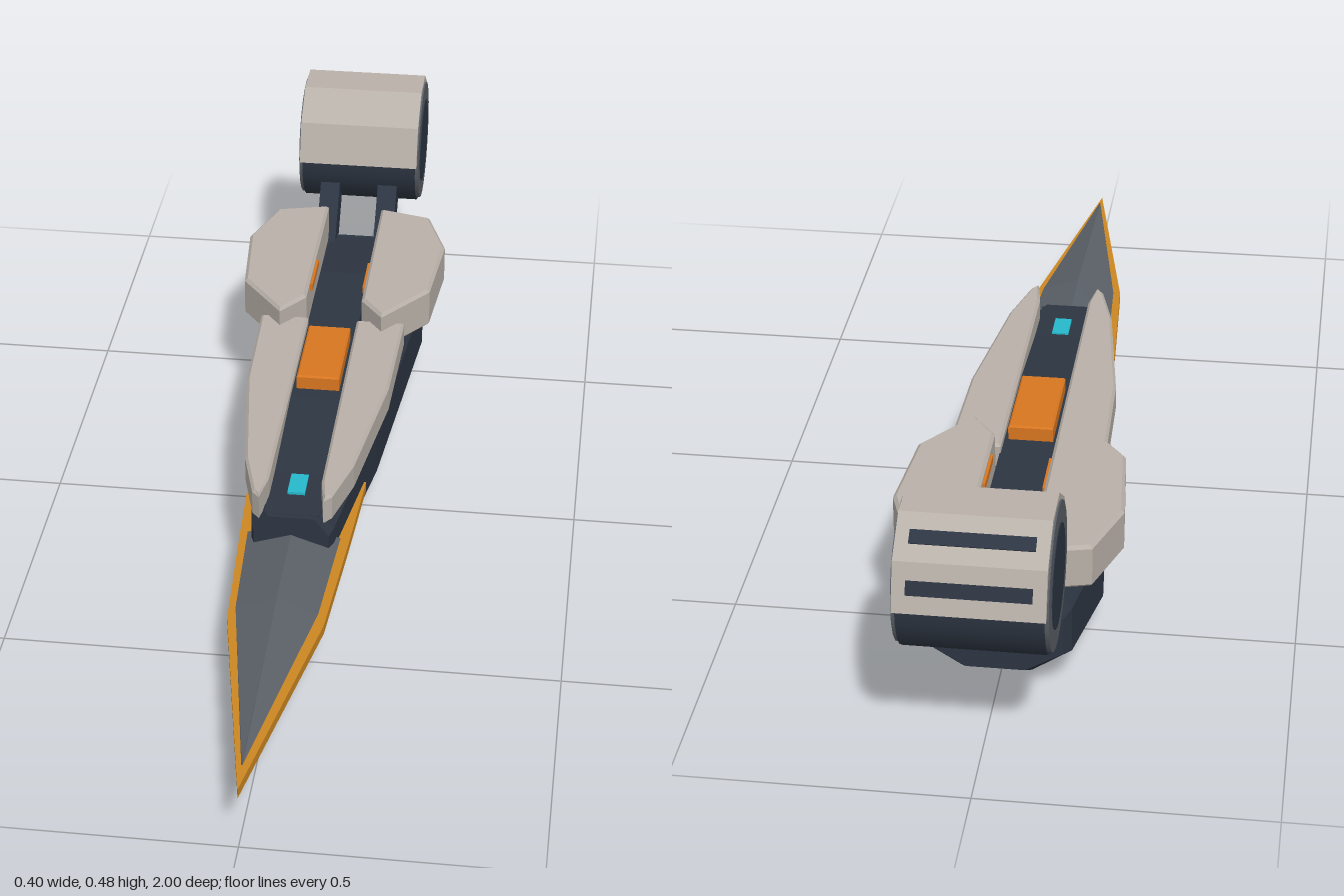
import * as THREE from 'three';

const mat = (name, color) => {
  const m = new THREE.MeshStandardMaterial({ color });
  m.name = name;
  return m;
};

// Join cross-sections (front to back, counter-clockwise seen from +z) into a faceted solid
function loft(sections) {
  const pos = [], idx = [], n = sections[0].pts.length, last = (sections.length - 1) * n;
  for (const s of sections) for (const [x, y] of s.pts) pos.push(x, y, s.z);
  for (let i = 0; i < sections.length - 1; i++) {
    for (let j = 0; j < n; j++) {
      const a = i * n + j, b = i * n + (j + 1) % n, c = b + n, d = a + n;
      idx.push(a, d, c, a, c, b);
    }
  }
  for (let j = 1; j < n - 1; j++) idx.push(0, j, j + 1, last, last + j + 1, last + j);
  const g = new THREE.BufferGeometry();
  g.setAttribute('position', new THREE.Float32BufferAttribute(pos, 3));
  g.setIndex(idx);
  const flat = g.toNonIndexed();
  flat.computeVertexNormals();
  return flat;
}

// Upright slab from an [x, z] outline, between two heights, with a small bevel
function slab(outline, y0, y1, bevel) {
  const shape = new THREE.Shape(outline.map(([x, z]) => new THREE.Vector2(x, -z)));
  const g = new THREE.ExtrudeGeometry(shape, {
    depth: y1 - y0 - 2 * bevel, bevelEnabled: bevel > 0, bevelSize: bevel,
    bevelThickness: bevel, bevelOffset: -bevel, bevelSegments: 1,
  });
  return g.rotateX(-Math.PI / 2).translate(0, y0 + bevel, 0);
}

export function createModel() {
  const navy = mat('navy', 0x2d3542), pale = mat('paleGrey', 0xb8b0a8);
  const steel = mat('steelGrey', 0x5a6067), orange = mat('orange', 0xd87620);
  const gold = mat('gold', 0xcc8722), cyan = mat('cyan', 0x25b8cc);
  const model = new THREE.Group();
  const add = (name, geo, material, parent = model) => {
    const m = new THREE.Mesh(geo, material);
    m.name = name;
    parent.add(m);
    return m;
  };
  const box = (name, size, at, material, parent) => {
    const m = add(name, new THREE.BoxGeometry(...size), material, parent);
    m.position.set(...at);
    return m;
  };

  // Eight-sided hull: w half width, b bottom half width, y0 bottom, y1 lower side, y2 upper side, t top half width
  const hull = ([z, w, b, y0, y1, y2, t]) => ({
    z, pts: [[w, y1], [w, y2], [t, 0.2], [-t, 0.2], [-w, y2], [-w, y1], [-b, y0], [b, y0]],
  });
  add('hull', loft([
    [0.34, 0.068, 0.032, 0.068, 0.105, 0.165, 0.042],
    [0.32, 0.075, 0.036, 0.065, 0.1, 0.17, 0.05],
    [0, 0.12, 0.055, 0.037, 0.085, 0.175, 0.095],
    [-0.5, 0.161, 0.065, 0.004, 0.077, 0.175, 0.143],
    [-0.69, 0.128, 0.06, 0.044, 0.09, 0.175, 0.11],
    [-0.71, 0.115, 0.05, 0.056, 0.095, 0.165, 0.1],
  ].map(hull)), navy);

  // Raised spine between the armour plates
  add('spine', loft([[0.33, 0.201], [0.2, 0.205], [-0.02, 0.228], [-0.5, 0.228], [-0.7, 0.201]].map(
    ([z, y]) => ({ z, pts: [[-0.05, 0.18], [0.05, 0.18], [0.05, y], [-0.05, y]] }))), navy);
  add('topBlock', slab([[-0.041, -0.24], [0.041, -0.24], [0.041, -0.05], [-0.041, -0.05]], 0.222, 0.256, 0.003), orange);
  box('indicator', [0.032, 0.008, 0.06], [0, 0.204, 0.24], cyan);

  // Blade: flat gold edge plate with a ridged steel cover floating above it
  const half = [[0.11, 0.1], [0.1, 0.3], [0.085, 0.55]];
  add('bladeEdge', slab([...half, [0, 1], ...half.map(([x, z]) => [-x, z]).reverse()], 0.107, 0.125, 0), gold);
  add('bladeCover', loft([[0.95, 0.001, 0.137], [0.53, 0.073, 0.163], [0.3, 0.085, 0.163]].map(
    ([z, w, y]) => ({ z, pts: [[-w, 0.135], [w, 0.135], [0, y]] }))), steel);

  // Paired armour, accents and hinge arms
  for (const s of [1, -1]) {
    const side = new THREE.Group();
    side.name = s > 0 ? 'leftSide' : 'rightSide';
    model.add(side);
    const flip = pts => pts.map(([x, z]) => [s * x, z]);
    add('frontArmour', slab(flip([
      [0.048, -0.29], [0.048, 0.28], [0.058, 0.34], [0.072, 0.325],
      [0.1, 0.22], [0.136, -0.05], [0.142, -0.29],
    ]), 0.19, 0.245, 0.005), pale, side);
    add('rearArmour', slab(flip([
      [0.055, -0.31], [0.1, -0.25], [0.185, -0.36], [0.2, -0.54], [0.158, -0.66], [0.055, -0.685],
    ]), 0.2, 0.282, 0.006), pale, side);
    box('accent', [0.006, 0.014, 0.1], [s * 0.053, 0.265, -0.42], orange, side);
    const arm = box('hingeArm', [0.04, 0.21, 0.06], [s * 0.06, 0.235, -0.735], navy, side);
    arm.rotation.x = -0.7;
  }

  // Drum across the back, with rims, end caps and a faceted cover
  const drum = new THREE.Group();
  drum.name = 'drum';
  drum.position.set(0, 0.355, -0.865);
  model.add(drum);
  const disc = (name, r, length, x, material) => {
    const g = new THREE.CylinderGeometry(r, r, length, 24).rotateZ(Math.PI / 2).translate(x, 0, 0);
    add(name, g, material, drum);
  };
  disc('drumCore', 0.127, 0.236, 0, navy);
  for (const s of [1, -1]) {
    disc('drumRim', 0.122, 0.008, s * 0.121, steel);
    disc('drumCap', 0.086, 0.006, s * 0.1235, navy);
  }
  const arc = r => Array.from({ length: 6 }, (_, i) => {
    const a = i * Math.PI / 5;
    return new THREE.Vector2(r * Math.cos(a), r * Math.sin(a));
  });
  const cover = new THREE.ExtrudeGeometry(new THREE.Shape([...arc(0.136), ...arc(0.112).reverse()]),
    { depth: 0.244, bevelEnabled: false });
  add('drumCover', cover.translate(0, 0, -0.122).rotateY(Math.PI / 2), pale, drum);

  // Slots on the two rear facets of the cover
  for (const a of [Math.PI / 10, 3 * Math.PI / 10]) {
    const slot = box('slot', [0.2, 0.024, 0.005], [0, 0.129 * Math.sin(a), -0.129 * Math.cos(a)], navy, drum);
    slot.rotation.x = a;
  }
  return model;
}
